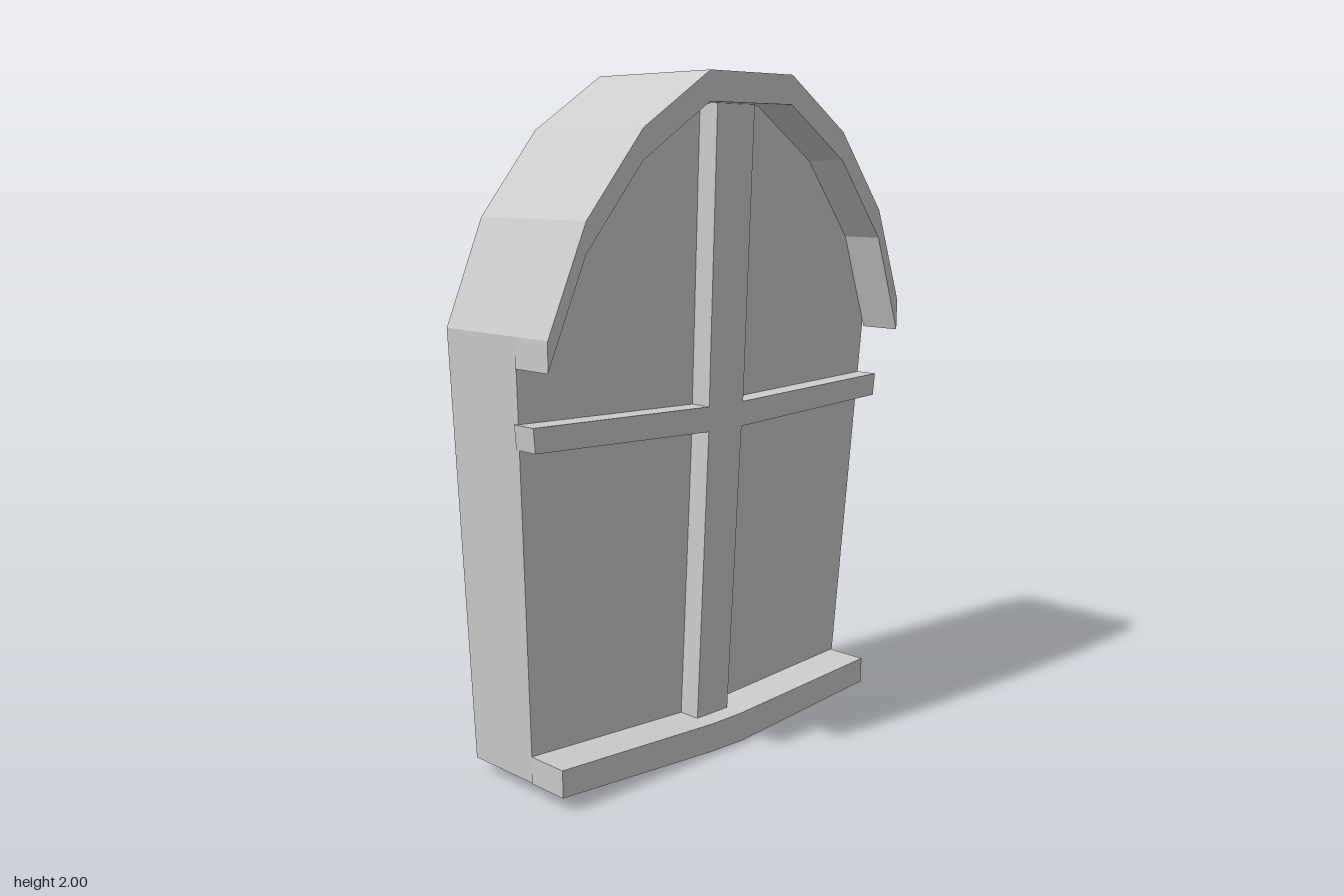
import * as THREE from 'three';

const material = new THREE.MeshStandardMaterial({ color: 0xcccccc, flatShading: true });

// Depth planes lean slightly outward with height
const backX = y => -0.2 - 0.0155 * (y - 0.04);
const paneX = y => 0.06 + 0.0185 * (y - 0.12);
const barX = y => paneX(y) + 0.07;
const archX = y => 0.215 + 0.017 * (y - 1.21);
const sillX = () => 0.193;

// Extrudes a [z, y] outline along x between two leaning planes
function slab(name, outline, rear, front, minRearY = 0) {
  const shape = new THREE.Shape(outline.map(([z, y]) => new THREE.Vector2(-z, y)));
  const geo = new THREE.ExtrudeGeometry(shape, { depth: 1, bevelEnabled: false });
  geo.rotateY(Math.PI / 2);
  const p = geo.attributes.position;
  for (let i = 0; i < p.count; i++) {
    const y = p.getY(i), atFront = p.getX(i) > 0.5;
    p.setX(i, atFront ? front(y) : rear(y));
    if (!atFront) p.setY(i, Math.max(y, minRearY));
  }
  geo.computeVertexNormals();
  const mesh = new THREE.Mesh(geo, material);
  mesh.name = name;
  return mesh;
}

export function createModel() {
  const group = new THREE.Group();
  group.name = 'archedWindow';

  // Slightly crooked arch line shared by the body and the hood
  const arch = [[0.73, 1.3], [0.6, 1.6], [0.4, 1.84], [0.15, 2],
    [-0.19, 2], [-0.43, 1.84], [-0.62, 1.6], [-0.73, 1.31]];

  // Body with the recessed pane as its front face
  group.add(slab('windowBody', [[0.68, 0.04], ...arch, [-0.61, 0.04]], backX, paneX));

  // Projecting hood: the arch line and the same line dropped down
  const inner = arch.map(([z, y]) => [z, y - 0.085]).reverse();
  inner[0][1] = inner[inner.length - 1][1] = 1.215;
  group.add(slab('archHood', [...arch, ...inner], paneX, archX));

  // Crooked glazing bars as one cross
  group.add(slab('glazingBars', [
    [0.1, 0.09], [0.07, 0.97], [0.72, 0.995], [0.727, 1.065], [0.07, 1.045], [0.055, 1.915],
    [-0.1, 1.915], [-0.075, 1.045], [-0.71, 1.065], [-0.703, 0.995], [-0.07, 0.97], [-0.03, 0.09],
  ], y => paneX(y) - 0.01, barX));

  // Sagging sill, its underside rising to the body at the rear
  group.add(slab('sill', [
    [0.683, 0.04], [0.1, 0.003], [-0.03, 0], [-0.61, 0.04],
    [-0.612, 0.12], [-0.03, 0.09], [0.1, 0.09], [0.684, 0.12],
  ], paneX, sillX, 0.04));

  return group;
}
